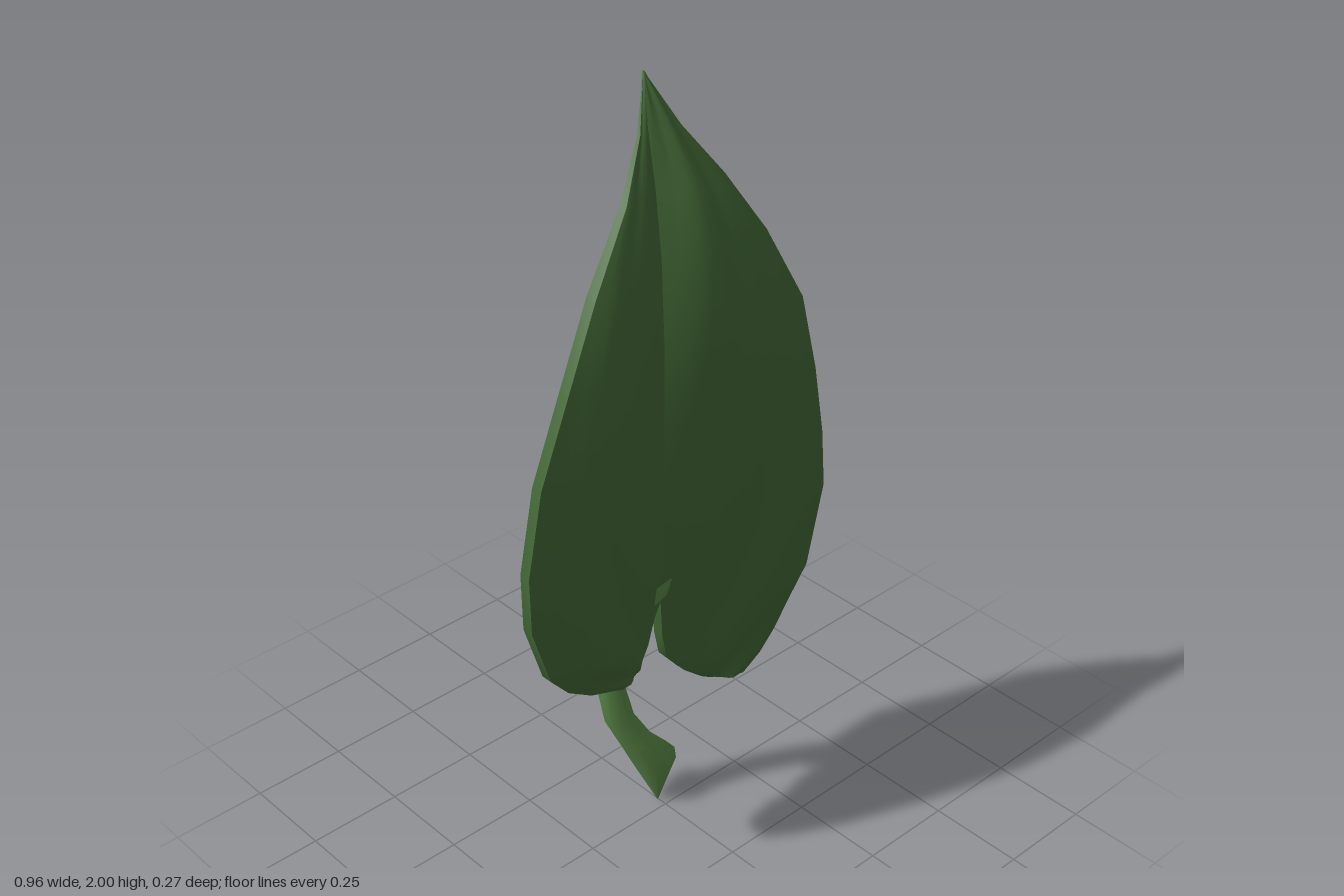
import * as THREE from 'three';

const frontGreen = new THREE.MeshStandardMaterial({ name: 'dark leaf green', color: 0x446a37 });
const backGreen = new THREE.MeshStandardMaterial({ name: 'light leaf green', color: 0x5c8a48 });
const collarGreen = new THREE.MeshStandardMaterial({ name: 'collar green', color: 0x5c8a48, side: THREE.DoubleSide });

// Each row runs from the midrib or notch (x, y, z) to the outer edge (x, y, z), tip first
const midrib = [
  [0, 2, -0.07], [-0.01, 1.88, -0.05], [-0.02, 1.75, -0.02], [-0.035, 1.6, 0.01], [-0.045, 1.4, 0.03],
  [-0.05, 1.2, 0.035], [-0.045, 1, 0.03], [-0.035, 0.84, 0.02], [-0.03, 0.67, 0],
];
const halves = {
  left: {
    inner: [...midrib, [-0.015, 0.55, -0.01], [0, 0.48, -0.01], [0.05, 0.42, 0], [0.1, 0.38, 0.01]],
    outer: [
      [0, 2, -0.07], [0.07, 1.87, -0.03], [0.15, 1.75, 0.02], [0.24, 1.6, 0.06], [0.345, 1.4, 0.08],
      [0.41, 1.18, 0.07], [0.455, 0.98, 0.06], [0.48, 0.81, 0.05], [0.44, 0.58, 0.04],
      [0.4, 0.48, 0.02], [0.36, 0.4, 0.01], [0.3, 0.36, 0.02], [0.23, 0.335, 0.03],
    ],
  },
  right: {
    inner: [...midrib, [-0.05, 0.63, 0], [-0.08, 0.57, 0.01], [-0.11, 0.54, 0.02]],
    outer: [
      [0, 2, -0.07], [-0.05, 1.88, -0.03], [-0.14, 1.76, 0.02], [-0.27, 1.6, 0.06], [-0.375, 1.4, 0.08],
      [-0.445, 1.2, 0.07], [-0.48, 0.98, 0.06], [-0.47, 0.82, 0.05], [-0.42, 0.66, 0.05],
      [-0.36, 0.59, 0.04], [-0.29, 0.545, 0.04], [-0.19, 0.51, 0.04],
    ],
  },
};

// Surface through a grid of points; flip reverses the facing side
function gridSurface(rows, flip) {
  const w = rows[0].length;
  const index = [];
  for (let i = 0; i < rows.length - 1; i++) {
    for (let j = 0; j < w - 1; j++) {
      const a = i * w + j, b = a + 1, c = a + w, d = c + 1;
      index.push(...(flip ? [a, b, c, b, d, c] : [a, c, b, b, c, d]));
    }
  }
  const g = new THREE.BufferGeometry();
  g.setAttribute('position', new THREE.Float32BufferAttribute(rows.flat(2), 3));
  g.setIndex(index);
  g.computeVertexNormals();
  return g;
}

function addMesh(parent, name, geometry, material) {
  const mesh = new THREE.Mesh(geometry, material);
  mesh.name = name;
  parent.add(mesh);
  return mesh;
}

// One arched half of the blade: front, back and rim
function bladeHalf(side, { inner, outer }) {
  const group = new THREE.Group();
  group.name = side + 'BladeHalf';
  const steps = 8;
  const sheet = (dir) => inner.map((p, i) => {
    const q = outer[i];
    const width = Math.abs(q[0] - p[0]);
    const half = 0.015 * Math.min(1, i / 3);
    return Array.from({ length: steps + 1 }, (_, j) => {
      const s = j / steps;
      const arch = Math.sin(Math.PI * s);
      const ripple = 0.006 * Math.sin(i * 1.7 + j * 1.3) * arch;
      const z = p[2] + (q[2] - p[2]) * s + 0.055 * Math.min(1, width / 0.4) * arch + ripple;
      return [p[0] + (q[0] - p[0]) * s, p[1] + (q[1] - p[1]) * s, z + dir * half];
    });
  });
  const front = sheet(1), back = sheet(-1);
  const isRight = side === 'right';
  addMesh(group, 'bladeFront', gridSurface(front, isRight), frontGreen);
  addMesh(group, 'bladeBack', gridSurface(back, !isRight), backGreen);

  // Rim follows the outer edge, the lobe bottom and the notch
  const last = inner.length - 1;
  const path = outer.map((_, i) => [i, steps]);
  for (let j = steps - 1; j >= 0; j--) path.push([last, j]);
  for (let i = last - 1; i >= midrib.length - 1; i--) path.push([i, 0]);
  const rim = path.map(([i, j]) => [front[i][j], back[i][j]]);
  addMesh(group, 'bladeRim', gridSurface(rim, isRight), frontGreen);
  return group;
}

// Curved stem from rings [x, y, z, radius], ending in a pointed foot
function stemGeometry() {
  const rings = [
    [0, 0.78, -0.01, 0.02], [-0.03, 0.72, -0.035, 0.034], [-0.065, 0.62, -0.075, 0.034],
    [-0.095, 0.5, -0.1, 0.035], [-0.1, 0.4, -0.1, 0.036], [-0.08, 0.28, -0.085, 0.04],
    [-0.04, 0.2, -0.07, 0.045], [0.01, 0.12, -0.05, 0.055], [0, 0, -0.03, 0.002],
  ];
  const sides = 10;
  return gridSurface(rings.map(([x, y, z, r], k) =>
    Array.from({ length: sides + 1 }, (_, j) => {
      const a = (j / sides) * Math.PI * 2;
      const tilt = k === 7 ? 0.3 : 0;
      return [x + r * Math.sin(a), y + r * Math.sin(a) * tilt, z + r * Math.cos(a)];
    })), false);
}

export function createModel() {
  const model = new THREE.Group();
  model.name = 'leaf';
  for (const side of ['left', 'right']) model.add(bladeHalf(side, halves[side]));
  addMesh(model, 'stem', stemGeometry(), backGreen);

  // Lumpy collar where the stem joins the blade
  const knot = addMesh(model, 'collarKnot', new THREE.IcosahedronGeometry(1, 1), backGreen);
  knot.scale.set(0.07, 0.055, 0.035);
  knot.position.set(-0.01, 0.745, -0.025);
  knot.rotation.z = 0.4;

  // Ragged slivers around the collar, in front of and behind the blade
  const slivers = [
    [[-0.12, 0.74, 0.05], [-0.08, 0.695, 0.045], [0, 0.74, 0.03]],
    [[-0.08, 0.695, 0.045], [-0.02, 0.69, 0.025], [0.01, 0.75, 0.03]],
    [[0, 0.71, 0.03], [0.08, 0.75, 0.055], [0.02, 0.75, 0.035]],
    [[0.02, 0.74, 0.035], [0.085, 0.785, 0.06], [0.04, 0.795, 0.05]],
    [[-0.12, 0.73, -0.03], [-0.03, 0.69, -0.05], [0, 0.78, -0.04]],
    [[0.1, 0.7, -0.01], [0.01, 0.69, -0.05], [0.02, 0.78, -0.04]],
    [[-0.05, 0.77, -0.03], [0.04, 0.76, -0.03], [0.05, 0.86, -0.015]],
  ];
  const g = new THREE.BufferGeometry();
  g.setAttribute('position', new THREE.Float32BufferAttribute(slivers.flat(2), 3));
  g.computeVertexNormals();
  addMesh(model, 'collarSlivers', g, collarGreen);
  return model;
}
